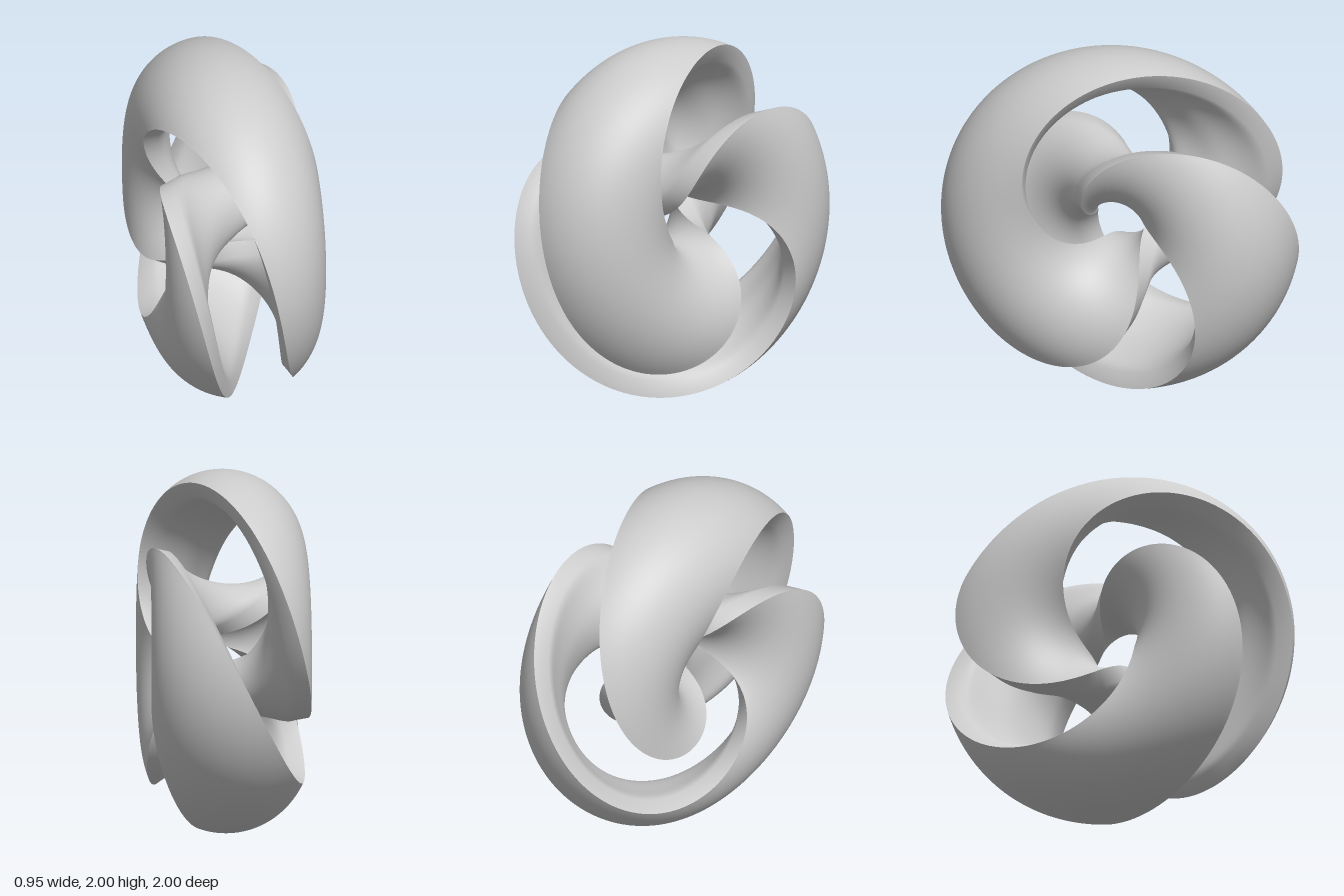
import * as THREE from 'three';
import { toCreasedNormals } from 'three/addons/utils/BufferGeometryUtils.js';

const DEG = Math.PI / 180;
const RING = 0.57;      // radius of the ring's centre line
const TUBE = 0.43;      // radius of the tube the bands lie on
const STEPS = 260;      // sections around the ring
const ARC = 36;         // spans across a band

// Value that varies around the ring: a base plus one wave and a double wave
const wave = (base, amount = 0, peak = 0, amount2 = 0, peak2 = 0) => (a) =>
  base + amount * Math.cos((a - peak) * DEG) + amount2 * Math.cos(2 * (a - peak2) * DEG);

// Curved, thick band winding once around the tube per turn of the ring (axis x).
// width is the tube's half width along x; from / to give the lag (degrees)
// of the band's two edges at each ring angle.
function band(name, width, from, to) {
  const positions = [];
  const index = [];
  const loop = 2 * (ARC + 1);

  // Point on the tube at ring angle a, tube angle p and depth d below the skin
  const add = (a, p, d) => {
    const r = RING + (TUBE - d) * Math.cos(p * DEG);
    positions.push(
      (width(a) - d) * Math.sin(p * DEG),
      1 + r * Math.sin(a * DEG),
      -r * Math.cos(a * DEG)
    );
  };

  for (let i = 0; i < STEPS; i++) {
    const a = (i / STEPS) * 360;
    const low = a - from(a);
    const high = a - to(a);
    // outer skin, then back along the inner skin, which swells quickly past the rim
    for (let j = 0; j <= ARC; j++) add(a, low + (high - low) * j / ARC, 0);
    for (let j = ARC; j >= 0; j--) {
      const u = j / ARC;
      const swell = Math.max(0, Math.sin(Math.PI * u)) ** 0.65;
      add(a, low + (high - low) * u, 0.09 + 0.145 * swell);
    }
  }

  for (let i = 0; i < STEPS; i++) {
    const n = (i + 1) % STEPS;
    for (let j = 0; j < loop; j++) {
      const k = (j + 1) % loop;
      const p = i * loop + j, q = n * loop + j, r = n * loop + k, s = i * loop + k;
      index.push(p, q, r, p, r, s);
    }
  }

  const geometry = new THREE.BufferGeometry();
  geometry.setAttribute('position', new THREE.Float32BufferAttribute(positions, 3));
  geometry.setIndex(index);
  const mesh = new THREE.Mesh(
    toCreasedNormals(geometry, 0.95),
    new THREE.MeshStandardMaterial({ color: 0xcccccc })
  );
  mesh.name = name;
  return mesh;
}

export function createModel() {
  const group = new THREE.Group();
  group.name = 'linkedBands';

  // Two interlinked bands, half a turn apart
  group.add(band('upperBand', wave(0.42, 0, 0, -0.012), wave(176, 10, 240, 11, 240), wave(57, 3, 10)));
  group.add(band('lowerBand', wave(0.455, 0, 0, 0.018), wave(355, 5, 270), wave(239, 13, 265, 5, 250)));
  return group;
}
